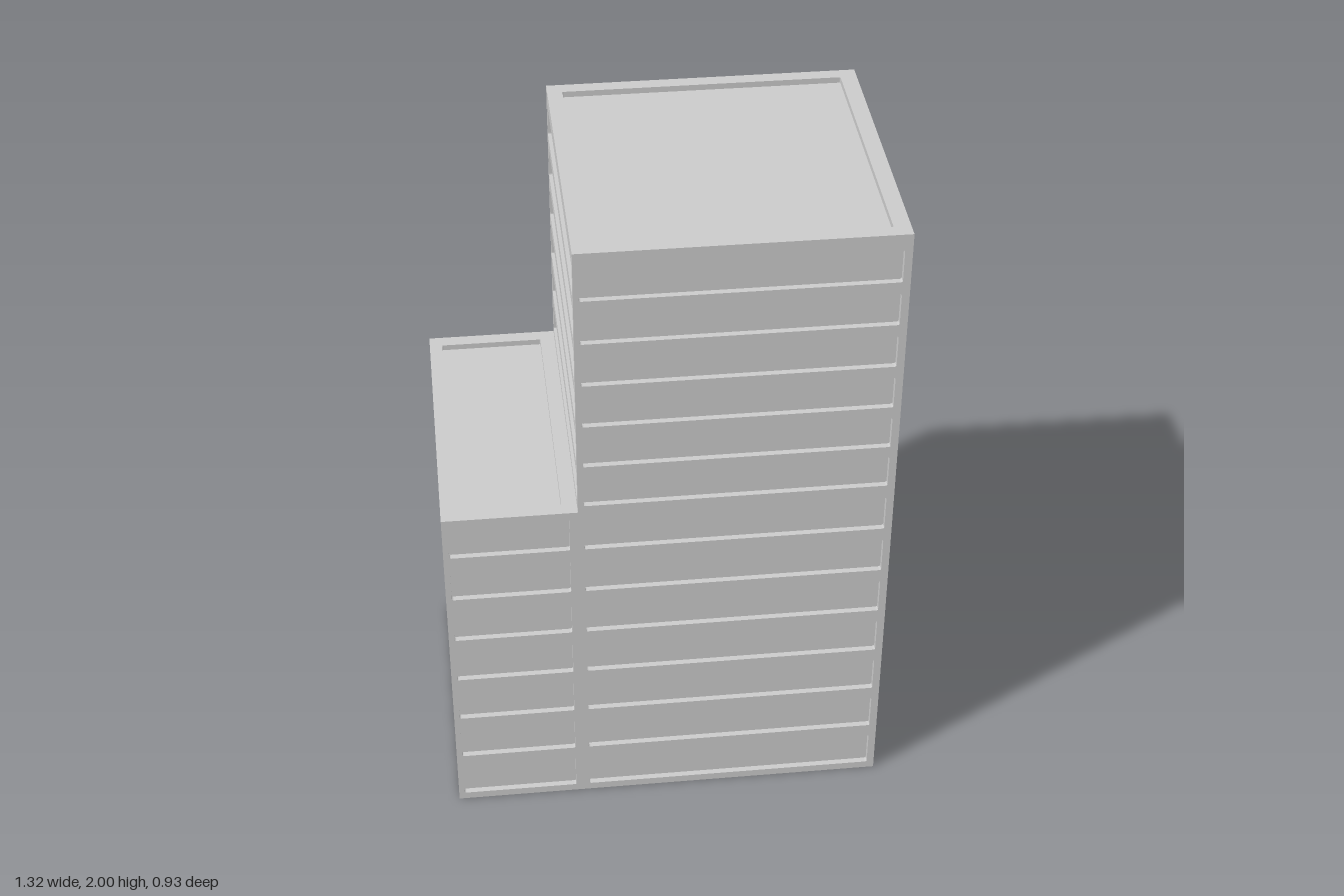
import * as THREE from 'three';

const DEPTH = 0.018;   // depth of every recess
const Z = 0.463;       // half depth of the building
const material = new THREE.MeshStandardMaterial({ color: 0xcccccc, flatShading: true });

// Window bands [bottom, top]: seven taller lower floors, six upper floors
const lowerRows = Array.from({ length: 7 }, (_, i) => [0.024 + i * 0.1595, 0.14 + i * 0.1595]);
const upperRows = Array.from({ length: 6 }, (_, i) => [1.142 + i * 0.141, 1.245 + i * 0.141]);
const allRows = [...lowerRows, ...upperRows];

// Rectangle with slightly rounded corners, used as an opening
function opening(x0, x1, y0, y1, r = 0.006) {
  const p = new THREE.Path();
  p.moveTo(x0 + r, y0);
  p.lineTo(x1 - r, y0);
  p.quadraticCurveTo(x1, y0, x1, y0 + r);
  p.lineTo(x1, y1 - r);
  p.quadraticCurveTo(x1, y1, x1 - r, y1);
  p.lineTo(x0 + r, y1);
  p.quadraticCurveTo(x0, y1, x0, y1 - r);
  p.lineTo(x0, y0 + r);
  p.quadraticCurveTo(x0, y0, x0 + r, y0);
  return p;
}

// Thin slab pierced by openings, its outer face towards +z
function slab(name, x0, x1, y0, y1, holes) {
  const shape = new THREE.Shape([
    new THREE.Vector2(x0, y0), new THREE.Vector2(x1, y0),
    new THREE.Vector2(x1, y1), new THREE.Vector2(x0, y1),
  ]);
  shape.holes = holes;
  const geometry = new THREE.ExtrudeGeometry(shape, { depth: DEPTH, bevelEnabled: false, curveSegments: 3 });
  const mesh = new THREE.Mesh(geometry, material);
  mesh.name = name;
  return mesh;
}

// One block: solid core, four pierced walls and a roof with a raised rim
function block({ name, x0, x1, height, win, roof, front, back, left, right }) {
  const group = new THREE.Group();
  group.name = name;
  const d = DEPTH, top = height - d, inner = Z - d;

  const core = new THREE.Mesh(new THREE.BoxGeometry(x1 - x0 - 2 * d, top, 2 * inner), material);
  core.name = 'core';
  core.position.set((x0 + x1) / 2, top / 2, 0);
  group.add(core);

  const frontWall = slab('frontWall', x0, x1, 0, top, front.map(([a, b]) => opening(win[0], win[1], a, b)));
  frontWall.position.z = inner;

  const backWall = slab('backWall', -x1, -x0, 0, top, back.map(([a, b]) => opening(-win[1], -win[0], a, b)));
  backWall.rotation.y = Math.PI;
  backWall.position.z = -inner;

  const sideWall = (label, rows) =>
    slab(label, -inner, inner, 0, top, rows.map(([a, b]) => opening(-0.443, 0.443, a, b)));
  const leftWall = sideWall('leftWall', left);
  leftWall.rotation.y = Math.PI / 2;
  leftWall.position.x = x1 - d;
  const rightWall = sideWall('rightWall', right);
  rightWall.rotation.y = -Math.PI / 2;
  rightWall.position.x = x0 + d;

  const roofRim = slab('roofRim', x0, x1, -Z, Z, [opening(roof[0], roof[1], -0.42, 0.42, 0.003)]);
  roofRim.rotation.x = -Math.PI / 2;
  roofRim.position.y = top;

  group.add(frontWall, backWall, leftWall, rightWall, roofRim);
  return group;
}

export function createModel() {
  const model = new THREE.Group();
  model.name = 'officeBuilding';
  model.add(
    block({
      name: 'tower', x0: -0.265, x1: 0.659, height: 2,
      win: [-0.249, 0.637], roof: [-0.22, 0.61],
      front: allRows, back: allRows, left: allRows, right: upperRows,
    }),
    block({
      name: 'lowWing', x0: -0.659, x1: -0.265, height: 1.12,
      win: [-0.642, -0.29], roof: [-0.62, -0.31],
      front: lowerRows, back: [], left: [], right: lowerRows,
    }),
  );
  return model;
}
